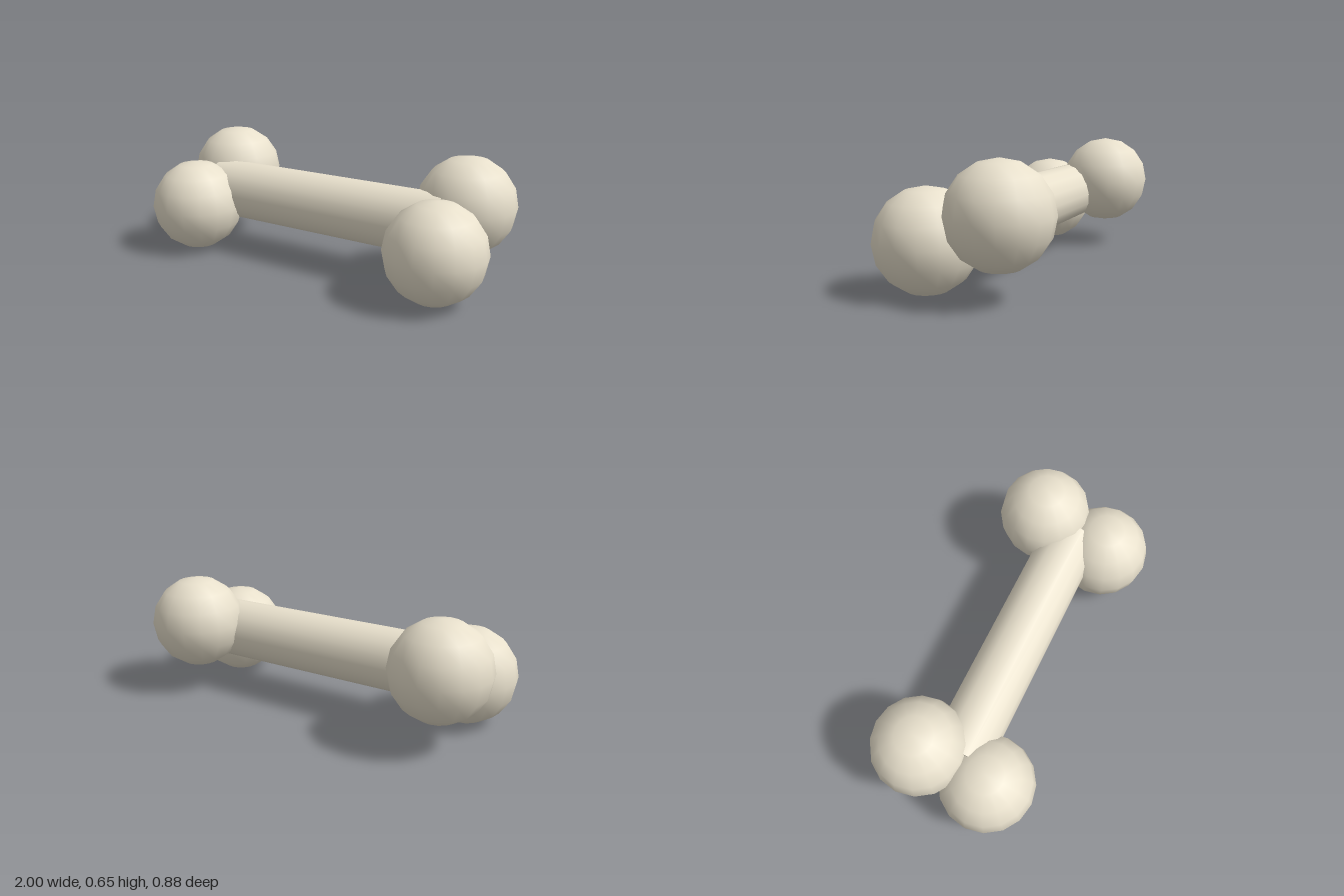
import * as THREE from 'three';

export function createModel() {
  const group = new THREE.Group();
  group.name = 'bone';
  const material = new THREE.MeshStandardMaterial({ color: 0xe8e0cc });

  // Shaft lying along x
  const shaft = new THREE.Mesh(new THREE.CylinderGeometry(0.163, 0.163, 1.4, 16), material);
  shaft.name = 'shaft';
  shaft.rotation.z = Math.PI / 2;
  shaft.position.y = 0.327;
  group.add(shaft);

  // Two knobs at each end: a low one in front and a raised one behind
  const knobGeometry = new THREE.SphereGeometry(0.255, 16, 8);
  for (const [side, x] of [['left', 0.745], ['right', -0.745]]) {
    for (const [place, y, z] of [['Front', 0.256, 0.187], ['Back', 0.397, -0.187]]) {
      const knob = new THREE.Mesh(knobGeometry, material);
      knob.name = `${side}${place}Knob`;
      knob.position.set(x, y, z);
      group.add(knob);
    }
  }
  return group;
}
